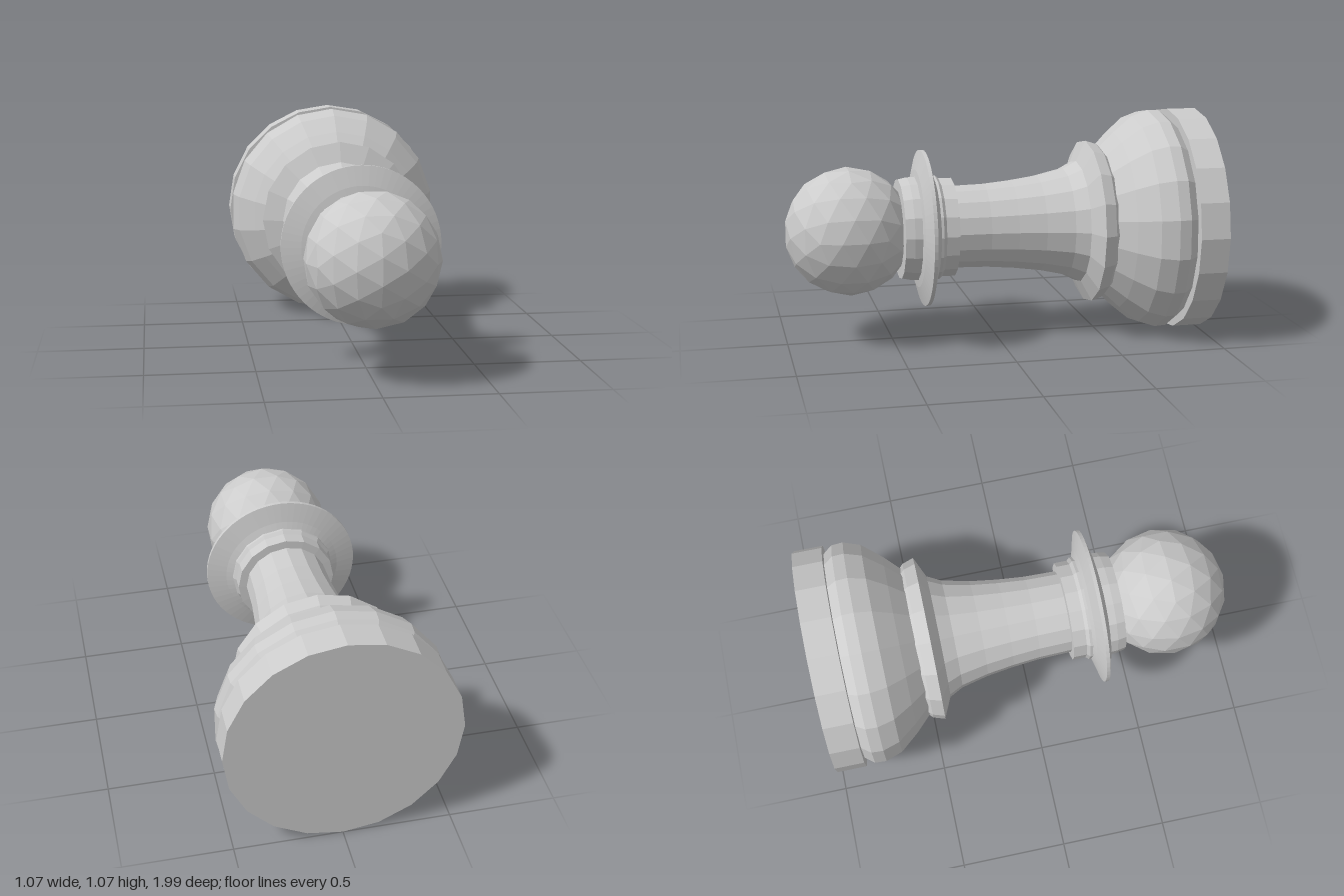
import * as THREE from 'three';

const AXIS_Y = 0.538;

export function createModel() {
  const model = new THREE.Group();
  const flat = new THREE.MeshStandardMaterial({ color: 0xcccccc, flatShading: true });

  // Turned part: profile of [radius, z], running from the foot (-z) to the head (+z)
  function turned(name, sides, profile) {
    const points = profile.map(([r, z]) => new THREE.Vector2(r, z));
    const geometry = new THREE.LatheGeometry(points, sides);
    geometry.rotateX(Math.PI / 2);
    const mesh = new THREE.Mesh(geometry, flat);
    mesh.name = name;
    mesh.position.y = AXIS_Y;
    model.add(mesh);
  }

  // Flat foot slab
  turned('base', 20, [[0, -1], [0.536, -1], [0.536, -0.86], [0.49, -0.858], [0, -0.858]]);

  // Rounded swelling above the foot
  turned('bulge', 18, [
    [0, -0.86], [0.495, -0.86], [0.53, -0.815], [0.533, -0.76],
    [0.505, -0.68], [0.43, -0.59], [0.355, -0.515], [0, -0.515],
  ]);

  // Lower collar flowing into the tapered stem
  turned('stem', 16, [
    [0, -0.53], [0.355, -0.525], [0.375, -0.505], [0.393, -0.45], [0.295, -0.405],
    [0.262, -0.34], [0.232, -0.21], [0.214, -0.08], [0.202, 0.05], [0.198, 0.21],
  ]);

  // Rings on either side of the neck disc
  turned('lowerNeckRing', 16, [[0.19, 0.205], [0.237, 0.208], [0.237, 0.27], [0.25, 0.285], [0.25, 0.33]]);
  turned('upperNeckRing', 16, [[0.25, 0.35], [0.247, 0.42], [0.238, 0.462], [0.18, 0.465]]);

  // Thin, sharp-edged neck disc
  turned('neckDisc', 64, [[0.24, 0.295], [0.28, 0.31], [0.371, 0.335], [0.371, 0.352], [0.28, 0.378], [0.24, 0.385]]);

  // Faceted ball head
  const ball = new THREE.Mesh(new THREE.IcosahedronGeometry(0.304, 2), flat);
  ball.name = 'head';
  ball.position.set(0, AXIS_Y, 0.7);
  ball.scale.z = 0.99;
  model.add(ball);

  return model;
}
